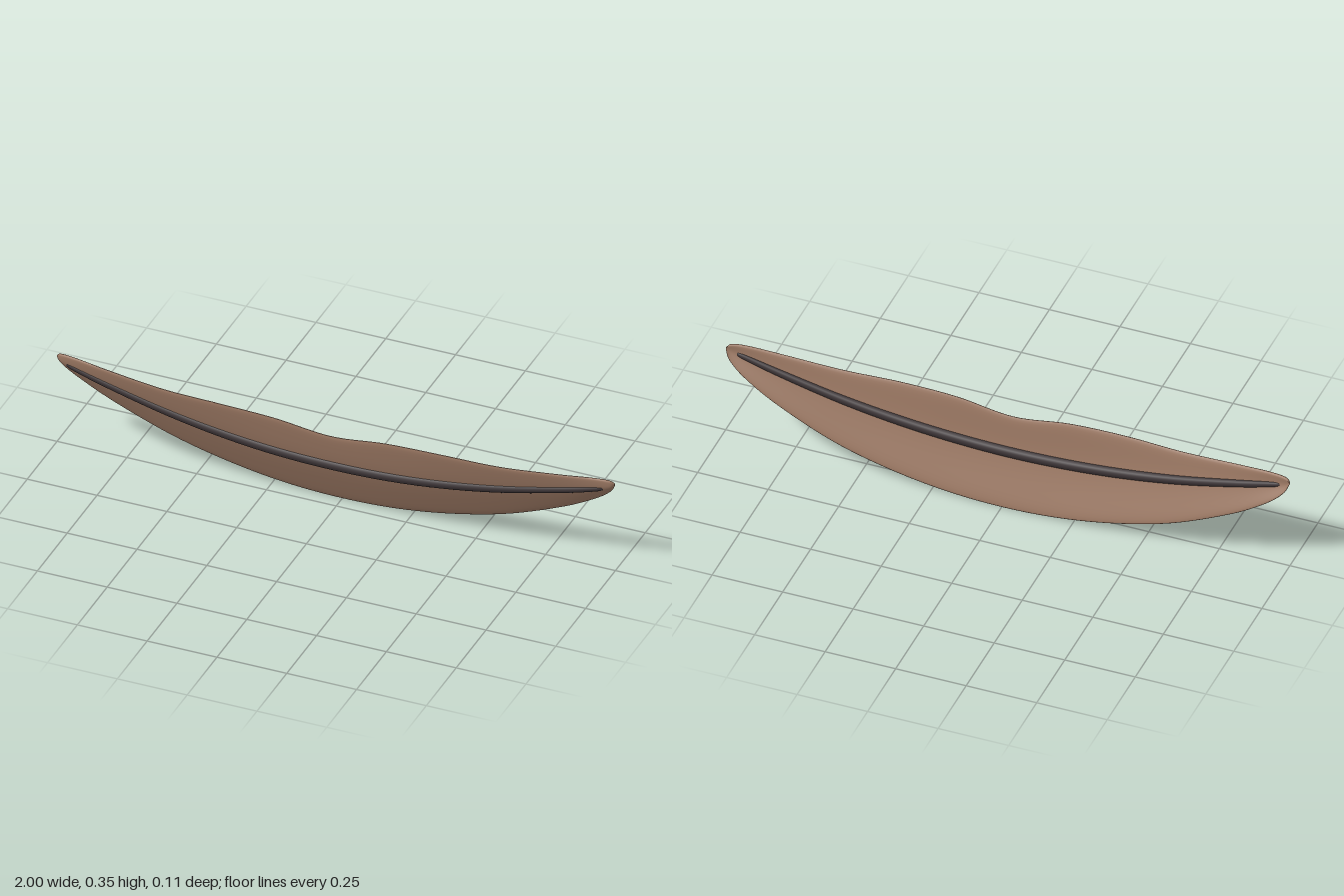
import * as THREE from 'three';

// Skin over a list of closed rings that advance along +x
function loft(rings, color, name) {
  const n = rings[0].length;
  const pos = rings.flat().flatMap((p) => [p.x, p.y, p.z]);
  const index = [];
  for (let i = 0; i < rings.length - 1; i++) {
    for (let j = 0; j < n; j++) {
      const a = i * n + j, c = i * n + (j + 1) % n;
      index.push(a, a + n, c, c, a + n, c + n);
    }
  }
  const geo = new THREE.BufferGeometry();
  geo.setAttribute('position', new THREE.Float32BufferAttribute(pos, 3));
  geo.setIndex(index);
  geo.computeVertexNormals();
  const mesh = new THREE.Mesh(geo, new THREE.MeshStandardMaterial({ color }));
  mesh.name = name;
  return mesh;
}

// Curve across the full width from points of the left half
const X = [0, 0.2, 0.4, 0.6, 0.8, 0.92, 0.98, 1];
function mirrored(ys, zs) {
  const half = X.map((x, i) => new THREE.Vector3(x, ys[i], zs[i]));
  const other = half.slice(1).reverse().map((p) => new THREE.Vector3(-p.x, p.y, p.z));
  return new THREE.CatmullRomCurve3([...other, ...half], false, 'catmullrom', 0.5);
}

export function createModel() {
  const group = new THREE.Group();
  group.name = 'mouth';

  const bottom = mirrored(
    [0.004, 0.014, 0.046, 0.1, 0.185, 0.254, 0.304, 0.342],
    [-0.053, -0.052, -0.05, -0.045, -0.034, -0.023, -0.011, 0.001]);
  const middle = mirrored(
    [0.18, 0.186, 0.205, 0.237, 0.282, 0.313, 0.33, 0.343],
    [0.021, 0.021, 0.019, 0.016, 0.013, 0.011, 0.008, 0.002]);
  const top = mirrored(
    [0.306, 0.329, 0.335, 0.334, 0.348, 0.358, 0.357, 0.344],
    [0.048, 0.052, 0.051, 0.042, 0.029, 0.018, 0.01, 0.003]);

  // Lips: thin curved plate leaning forward, from lower edge to upper edge
  const SEG = 112, ROWS = 20;
  const lipRings = [];
  for (let i = 0; i <= SEG; i++) {
    const t = i / SEG;
    const [b, m, u] = [bottom, middle, top].map((c) => c.getPoint(t));
    const profile = new THREE.CatmullRomCurve3([b, m, u]);
    const endFade = Math.sqrt(Math.max(0, 1 - Math.abs(2 * t - 1) ** 12));
    const front = [], back = [];
    for (let j = 0; j <= ROWS; j++) {
      const v = 0.5 - 0.5 * Math.cos(Math.PI * j / ROWS);
      const p = profile.getPoint(v);
      const h = 0.007 * endFade * Math.sqrt(Math.max(0.02, 1 - Math.abs(2 * v - 1) ** 10));
      front.push(p.clone().setZ(p.z + h));
      back.unshift(p.clone().setZ(p.z - h));
    }
    lipRings.push([...front, ...back]);
  }
  group.add(loft(lipRings, 0x9a7762, 'lips'));

  // Dark line between the lips: tapered tube with rounded ends
  const LINE = 90, SIDES = 16;
  const lineRings = [];
  for (let i = 0; i <= LINE; i++) {
    const s = -Math.cos(Math.PI * i / LINE);
    const c = middle.getPoint(0.5 + s * 0.405);
    const r = 0.02 * (1 - 0.5 * s * s) * Math.sqrt(Math.max(0, 1 - s ** 40));
    lineRings.push(Array.from({ length: SIDES }, (_, j) => {
      const a = 2 * Math.PI * j / SIDES;
      return new THREE.Vector3(c.x, c.y - r * Math.cos(a), c.z + r * Math.sin(a));
    }));
  }
  group.add(loft(lineRings, 0x3a3234, 'mouthLine'));

  return group;
}
